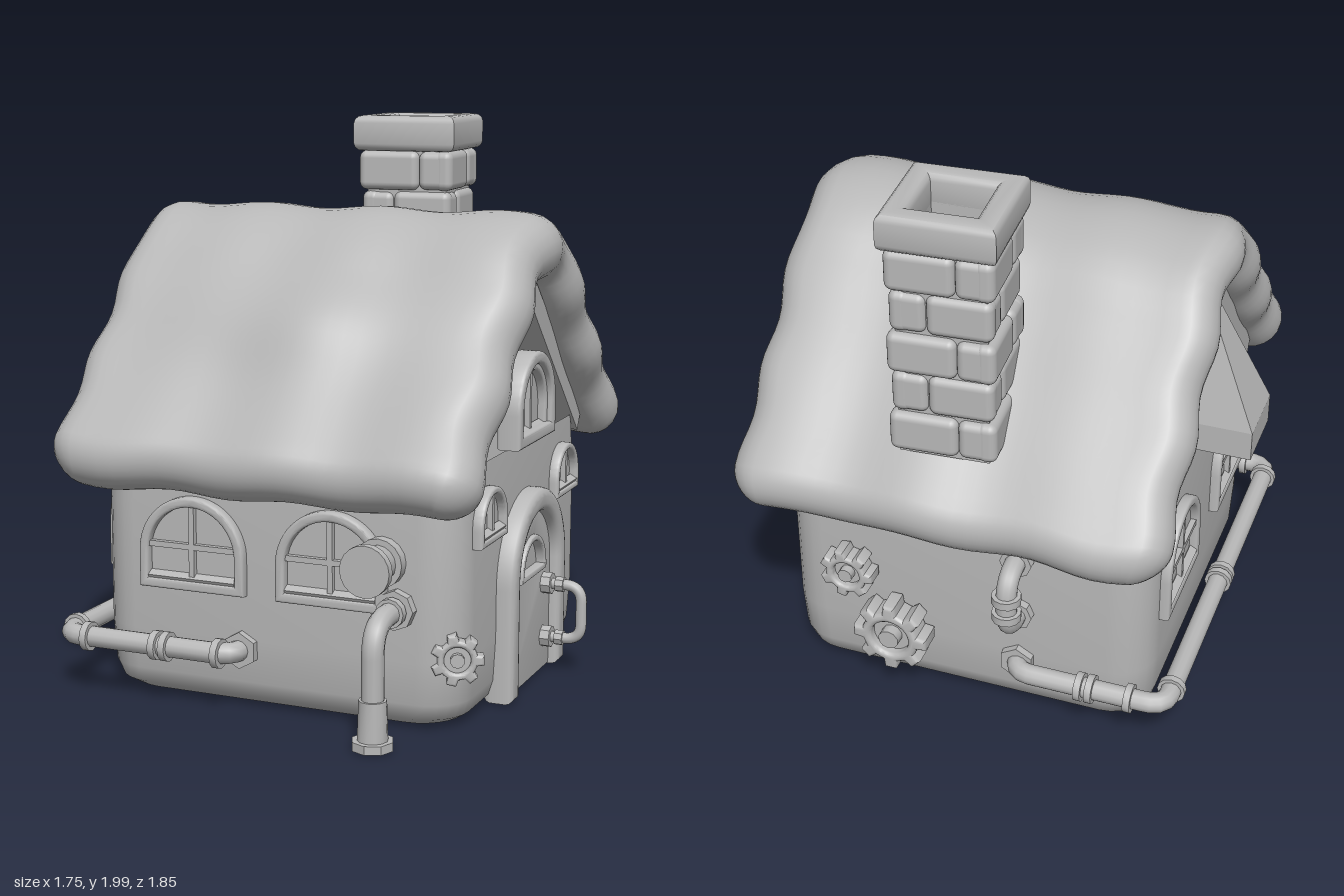
import * as THREE from 'three';
import { toCreasedNormals } from 'three/addons/utils/BufferGeometryUtils.js';
import { RoundedBoxGeometry } from 'three/addons/geometries/RoundedBoxGeometry.js';

const V = (x, y, z) => new THREE.Vector3(x, y, z);
const clay = new THREE.MeshStandardMaterial({ color: 0xb8b8b8, side: THREE.DoubleSide });
clay.name = 'clay grey';

function add(parent, name, geometry, x = 0, y = 0, z = 0) {
  const mesh = new THREE.Mesh(geometry, clay);
  mesh.name = name;
  mesh.position.set(x, y, z);
  parent.add(mesh);
  return mesh;
}

function group(parent, name, x = 0, y = 0, z = 0, ry = 0) {
  const g = new THREE.Group();
  g.name = name;
  g.position.set(x, y, z);
  g.rotation.y = ry;
  parent.add(g);
  return g;
}

// Skin over a list of closed rings of points
function loft(rings, capEnd = false) {
  const n = rings[0].length, index = [];
  for (let i = 0; i < rings.length - 1; i++) {
    for (let j = 0; j < n; j++) {
      const a = i * n + j, b = i * n + (j + 1) % n;
      index.push(a, a + n, b, b, a + n, b + n);
    }
  }
  const last = (rings.length - 1) * n;
  if (capEnd) for (let j = 1; j < n - 1; j++) index.push(last, last + j + 1, last + j);
  const geo = new THREE.BufferGeometry().setFromPoints(rings.flat());
  geo.setIndex(index);
  geo.computeVertexNormals();
  return geo;
}

function extrude(shape, depth, bevel = 0.012) {
  const geo = new THREE.ExtrudeGeometry(shape, {
    depth: depth - bevel, bevelEnabled: bevel > 0, bevelSize: bevel, bevelThickness: bevel,
    bevelOffset: -bevel, bevelSegments: 3, curveSegments: 20,
  });
  return toCreasedNormals(geo, 0.6);
}

// Round-topped outline standing on y = y0
function arch(w, h, y0 = 0, S = THREE.Shape) {
  const s = new S(), r = w / 2;
  s.moveTo(-r, y0);
  s.lineTo(r, y0);
  s.lineTo(r, h - r);
  s.absarc(0, h - r, r, 0, Math.PI, false);
  s.lineTo(-r, y0);
  return s;
}

function archFrame(w, h, t, depth, bevel, y0 = 0) {
  const s = arch(w, h, y0);
  s.holes.push(arch(w - 2 * t, h - t, y0 + t, THREE.Path));
  return extrude(s, depth, bevel);
}

function windowUnit(parent, name, x, y, z, ry, w, h, t, cross) {
  const g = group(parent, name, x, y, z, ry);
  add(g, 'window frame', archFrame(w, h, t, 0.035, 0.01));
  add(g, 'window pane', new THREE.ShapeGeometry(arch(w - t, h - t / 2, t / 2), 16), 0, 0, 0.004);
  add(g, 'mullion', new THREE.BoxGeometry(0.02, h - t, 0.02), 0, h / 2, 0.015);
  if (cross) add(g, 'crossbar', new THREE.BoxGeometry(w - t, 0.02, 0.02), 0, h * 0.47, 0.015);
  const sill = add(g, 'inner sill', new THREE.BoxGeometry(w - 2 * t, 0.012, 0.03), 0, t + 0.012, 0.018);
  sill.rotation.x = 0.5;
}

// Tube through points with rounded corners
function pipe(parent, name, pts, radius, bend) {
  const path = new THREE.CurvePath();
  let from = pts[0];
  for (let i = 1; i < pts.length - 1; i++) {
    const a = pts[i].clone().add(pts[i - 1].clone().sub(pts[i]).setLength(bend));
    const b = pts[i].clone().add(pts[i + 1].clone().sub(pts[i]).setLength(bend));
    path.add(new THREE.LineCurve3(from, a));
    path.add(new THREE.QuadraticBezierCurve3(a, pts[i], b));
    from = b;
  }
  path.add(new THREE.LineCurve3(from, pts[pts.length - 1]));
  add(parent, name, new THREE.TubeGeometry(path, 100, radius, 12));
}

// Ring around a pipe, lying along the given axis
function collar(parent, name, p, axis, r, len, sides = 12, r2 = r) {
  const m = add(parent, name, toCreasedNormals(new THREE.CylinderGeometry(r2, r, len, sides), 0.7), p.x, p.y, p.z);
  m.quaternion.setFromUnitVectors(V(0, 1, 0), axis);
}

function gear(parent, name, x, y, z, ry, r, teeth, depth) {
  const g = group(parent, name, x, y, z, ry), s = new THREE.Shape();
  for (let i = 0; i < teeth; i++) {
    [[-0.32, 0.76], [-0.2, 1], [0.2, 1], [0.32, 0.76]].forEach(([o, k], j) => {
      const a = (i + o) / teeth * Math.PI * 2;
      s[i + j ? 'lineTo' : 'moveTo'](Math.cos(a) * r * k, Math.sin(a) * r * k);
    });
  }
  s.closePath();
  s.holes.push(new THREE.Path().absarc(0, 0, r * 0.5, 0, Math.PI * 2, true));
  add(g, 'gear wheel', extrude(s, depth, r * 0.11));
  collar(g, 'gear web', V(0, 0, depth * 0.3), V(0, 0, 1), r * 0.55, depth * 0.6, 20);
  collar(g, 'gear hub', V(0, 0, depth * 0.5), V(0, 0, 1), r * 0.27, depth * 1.1, 10);
}

// Thick soft roof: a stadium section swept over the ridge, with rounded eaves
function roofGeometry() {
  const half = [[0.77, 0.89], [0.64, 1.03], [0.47, 1.2], [0.3, 1.39], [0.16, 1.53]];
  const pts = [...half, [0, 1.575], ...half.slice().reverse().map(([z, y]) => [-z, y])];
  const curve = new THREE.CatmullRomCurve3(pts.map(([z, y]) => V(0, y, z - 0.02)));
  const T = 0.115, stations = [];
  for (let k = 0; k < 8; k++) stations.push([0, -Math.cos(k / 8 * Math.PI / 2), Math.sin(k / 8 * Math.PI / 2)]);
  for (let k = 0; k <= 48; k++) stations.push([k / 48, 0, 1]);
  for (let k = 7; k >= 0; k--) stations.push([1, Math.cos(k / 8 * Math.PI / 2), Math.sin(k / 8 * Math.PI / 2)]);
  return loft(stations.map(([u, push, k]) => {
    const tan = curve.getTangentAt(u), nor = V(0, -tan.z, tan.y);
    const c = curve.getPointAt(u).addScaledVector(tan, push * T);
    const W = 0.77 + 0.012 * Math.cos((u + push * 0.05) * 38) - T;
    const ring = [];
    const put = (x, n) => {
      const p = c.clone().addScaledVector(nor.y < 0 ? nor.clone().negate() : nor, n);
      p.x = x + 0.01;
      const bump = 0.06 * Math.exp(-(((x - 0.05) / 0.38) ** 2) - ((p.z - 0.5) / 0.13) ** 2);
      if (n > 0) p.add(V(0, bump * 0.7, bump * 0.7));
      p.z += 0.014 * Math.sin(x * 11 + 1) * p.z;
      p.y += 0.008 * Math.sin(x * 14);
      ring.push(p);
    };
    for (let i = 0; i <= 24; i++) put(W * (1 - i / 12), T * k);
    for (let i = 1; i < 10; i++) put(-W - T * k * Math.sin(i / 10 * Math.PI), T * k * Math.cos(i / 10 * Math.PI));
    for (let i = 0; i <= 24; i++) put(W * (i / 12 - 1), -T * k);
    for (let i = 1; i < 10; i++) put(W + T * k * Math.sin(i / 10 * Math.PI), -T * k * Math.cos(i / 10 * Math.PI));
    return ring;
  }));
}

export function createModel() {
  const house = new THREE.Group();
  house.name = 'cottage';
  const H = Math.PI / 2, X = V(1, 0, 0), Y = V(0, 1, 0), Z = V(0, 0, 1);

  // Walls: rounded shell, open below and above
  const levels = [[0.01, 0.1], [0.018, 0.06], [0.045, 0.025], [0.1, 0.008], [0.25, 0], [0.7, 0], [0.89, 0.008]];
  const walls = loft(levels.map(([y, inset]) => {
    const ring = [], r = 0.15, hx = 0.68 - inset, hz = 0.675 - inset;
    for (let q = 0; q < 4; q++) for (let i = 0; i <= 6; i++) {
      const a = (q + i / 6) * H, sx = q === 0 || q === 3 ? 1 : -1, sz = q < 2 ? 1 : -1;
      ring.push(V(sx * (hx - r) + r * Math.cos(a), y, sz * (hz - r) + r * Math.sin(a) - 0.025));
    }
    return ring;
  }));
  add(house, 'walls', toCreasedNormals(walls, 0.8));

  // Roof and the thin lining beneath it
  add(house, 'roof', roofGeometry());
  const lining = new THREE.Shape([[0.61, 0.82], [0, 1.4], [-0.61, 0.82], [-0.66, 0.91], [0, 1.52], [0.66, 0.91]].map(p => new THREE.Vector2(...p)));
  add(house, 'roof lining', extrude(lining, 1.36, 0), -0.68, 0, -0.02).rotation.y = H;

  // Chimney: cap, hollow core and staggered bricks
  const chimney = group(house, 'chimney', 0.028, 0, -0.625, 0.07);
  const ringShape = (a, b) => {
    const sq = k => [[-k, -k], [k, -k], [k, k], [-k, k]].map(p => new THREE.Vector2(...p));
    const s = new THREE.Shape(sq(a));
    s.holes.push(new THREE.Path(sq(b)));
    return s;
  };
  add(chimney, 'chimney cap', extrude(ringShape(0.197, 0.11), 0.105, 0.028), 0, 1.895, 0).rotation.x = -H;
  add(chimney, 'chimney core', extrude(ringShape(0.155, 0.11), 0.8, 0), 0, 1.1, 0).rotation.x = -H;
  add(chimney, 'flue floor', new THREE.BoxGeometry(0.26, 0.02, 0.26), 0, 1.5, 0);
  for (let row = 0; row < 5; row++) {
    const flip = row % 2 ? -1 : 1, R = row % 2 ? 0.174 : 0.184, long = 2 * R * 0.64, short = 2 * R - long;
    for (let side = 0; side < 4; side++) {
      const g = group(chimney, 'brick course', 0, 1.795 - row * 0.152, 0, side * H);
      add(g, 'long brick', new RoundedBoxGeometry(long, 0.147, 0.07, 3, 0.028), flip * (-R + long / 2), 0, R - 0.035);
      add(g, 'short brick', new RoundedBoxGeometry(short, 0.142, 0.07, 3, 0.028), flip * (R - short / 2), 0, R - 0.036);
    }
  }

  // Windows
  for (const x of [-0.29, 0.23]) windowUnit(house, 'front window', x, 0.41, 0.65, 0, 0.4, 0.33, 0.035, true);
  for (const z of [0.39, -0.42]) windowUnit(house, 'side window', 0.68, 0.62, z, H, 0.26, 0.19, 0.025, false);
  for (const z of [0.3, -0.36]) windowUnit(house, 'left window', -0.68, 0.42, z, -H, 0.4, 0.36, 0.035, true);
  windowUnit(house, 'gable window', 0.67, 0.89, -0.02, H, 0.34, 0.28, 0.03, false);
  add(house, 'gable window surround', archFrame(0.4, 0.32, 0.045, 0.075, 0.012), 0.65, 0.89, -0.02).rotation.y = H;

  // Tapered hood on the left gable
  const hood = [[0.87, -0.875, -0.66, 0.13], [0.98, -0.875, -0.66, 0.13], [1.37, -0.7, -0.64, 0.045]]
    .map(([y, a, b, w]) => [V(a, y, w - 0.02), V(b, y, w - 0.02), V(b, y, -w - 0.02), V(a, y, -w - 0.02)]);
  add(house, 'gable hood', toCreasedNormals(loft(hood, true), 0.2));

  // Door with surround, window and handle
  const door = group(house, 'door', 0.66, 0.015, -0.02, H);
  const surround = new THREE.Shape();
  surround.moveTo(0.3, 0);
  surround.lineTo(0.3, 0.405);
  surround.absarc(0, 0.405, 0.3, 0, Math.PI, false);
  surround.lineTo(-0.3, 0);
  surround.lineTo(-0.215, 0);
  surround.lineTo(-0.215, 0.405);
  surround.absarc(0, 0.405, 0.215, Math.PI, 0, true);
  surround.lineTo(0.215, 0);
  surround.closePath();
  add(door, 'door surround', extrude(surround, 0.085, 0.028));
  const panel = arch(0.45, 0.63);
  panel.holes.push(arch(0.25, 0.525, 0.395, THREE.Path));
  add(door, 'door panel', extrude(panel, 0.045, 0.006));
  add(door, 'door window frame', archFrame(0.27, 0.535, 0.022, 0.06, 0.006, 0.385));
  add(door, 'door window pane', new THREE.ShapeGeometry(arch(0.26, 0.53, 0.39), 16), 0, 0, 0.026);
  pipe(house, 'door handle', [V(0.69, 0.34, -0.165), V(0.85, 0.34, -0.165), V(0.85, 0.14, -0.165), V(0.69, 0.14, -0.165)], 0.02, 0.06);
  for (const y of [0.14, 0.34]) {
    collar(house, 'handle mount', V(0.72, y, -0.165), X, 0.04, 0.04, 8);
    collar(house, 'handle ring', V(0.77, y, -0.165), X, 0.028, 0.03, 8);
  }

  // Long pipe wrapping the left side from front to back
  pipe(house, 'wraparound pipe', [V(-0.11, 0.22, 0.64), V(-0.11, 0.22, 0.73), V(-0.765, 0.22, 0.73),
    V(-0.765, 0.22, -0.765), V(-0.21, 0.22, -0.765), V(-0.21, 0.22, -0.69)], 0.037, 0.07);
  collar(house, 'pipe flange', V(-0.11, 0.22, 0.66), Z, 0.065, 0.035, 6);
  collar(house, 'pipe flange', V(-0.21, 0.22, -0.71), Z, 0.065, 0.035, 6);
  for (const [x, z] of [[-0.16, 0.73], [-0.36, 0.73], [-0.4, 0.73], [-0.67, 0.73], [-0.64, -0.765], [-0.5, -0.765], [-0.46, -0.765]])
    collar(house, 'pipe collar', V(x, 0.22, z), X, 0.052, 0.025);
  for (const z of [0.65, 0.0, -0.04, -0.67]) collar(house, 'pipe collar', V(-0.765, 0.22, z), Z, 0.05, 0.025);

  // Drain pipe at the front
  pipe(house, 'drain pipe', [V(0.465, 0.43, 0.64), V(0.465, 0.43, 0.86), V(0.465, 0.1, 0.86)], 0.038, 0.11);
  collar(house, 'drain flange', V(0.465, 0.43, 0.665), Z, 0.068, 0.04, 8);
  collar(house, 'drain collar', V(0.465, 0.43, 0.71), Z, 0.05, 0.03);
  collar(house, 'drain sleeve', V(0.465, 0.105, 0.86), Y, 0.052, 0.15, 12, 0.047);
  collar(house, 'drain foot', V(0.465, 0.03, 0.86), Y, 0.072, 0.03, 8);

  // Round vent at the front
  collar(house, 'vent base', V(0.41, 0.585, 0.665), Z, 0.085, 0.05, 16);
  collar(house, 'vent barrel', V(0.41, 0.585, 0.73), Z, 0.062, 0.11, 16, 0.078);
  collar(house, 'vent rim', V(0.41, 0.585, 0.79), Z, 0.088, 0.03, 20);

  // Bent pipe on the back
  pipe(house, 'back pipe', [V(-0.21, 0.67, -0.69), V(-0.21, 0.67, -0.82), V(-0.21, 0.44, -0.82), V(-0.21, 0.44, -0.69)], 0.037, 0.09);
  for (const y of [0.67, 0.44]) collar(house, 'back pipe flange', V(-0.21, y, -0.715), Z, 0.058, 0.03, 8);
  for (const y of [0.52, 0.59]) collar(house, 'back pipe collar', V(-0.21, y, -0.82), Y, 0.052, 0.03);

  // Gears
  gear(house, 'large gear', 0.24, 0.27, -0.72, Math.PI, 0.14, 8, 0.09);
  gear(house, 'small gear', 0.41, 0.49, -0.71, Math.PI, 0.1, 7, 0.07);
  gear(house, 'corner gear', 0.65, 0.265, 0.58, 0.4, 0.09, 7, 0.045);
  return house;
}
